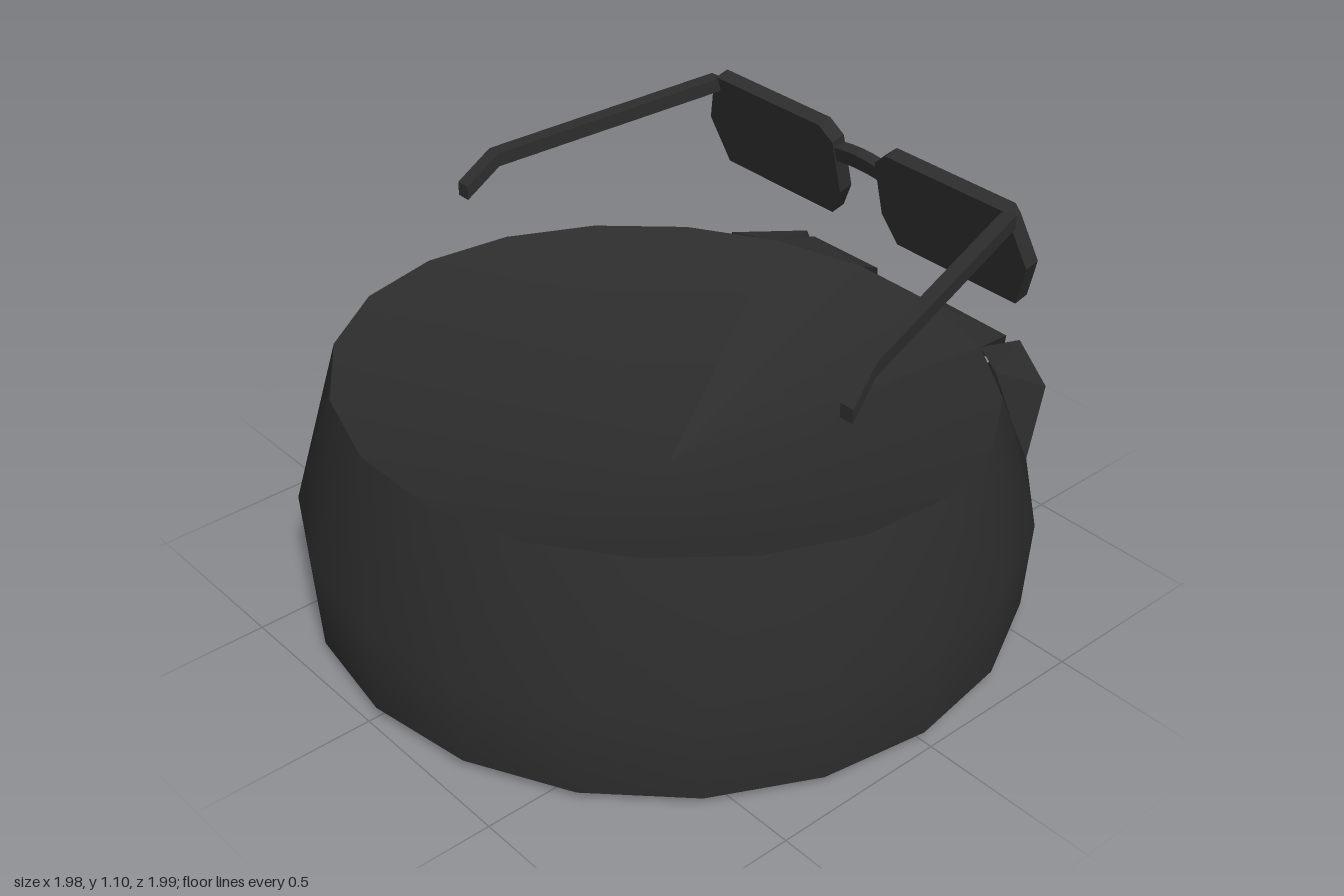
import * as THREE from 'three';

const SIDES = 20;
const charcoal = new THREE.MeshStandardMaterial({ color: 0x2d2d2d, side: THREE.DoubleSide });
charcoal.name = 'charcoal';

// Indexed points give smooth normals
function smoothMesh(name, points, index) {
  const g = new THREE.BufferGeometry();
  g.setAttribute('position', new THREE.Float32BufferAttribute(points.flat(), 3));
  g.setIndex(index);
  g.computeVertexNormals();
  return named(name, g);
}

// Each polygon becomes a fan of flat triangles
function facetMesh(name, polygons) {
  const tris = [];
  for (const p of polygons)
    for (let i = 1; i < p.length - 1; i++) tris.push(...p[0], ...p[i], ...p[i + 1]);
  const g = new THREE.BufferGeometry();
  g.setAttribute('position', new THREE.Float32BufferAttribute(tris, 3));
  g.computeVertexNormals();
  return named(name, g);
}

function named(name, geometry) {
  const m = new THREE.Mesh(geometry, charcoal);
  m.name = name;
  return m;
}

// Ring of points; angle 0 is the front
function ring(radius, offset, height) {
  return Array.from({ length: SIDES }, (_, i) => {
    const a = ((i + offset) / SIDES) * Math.PI * 2;
    const x = radius * Math.sin(a), z = radius * Math.cos(a);
    return [x, height(z), z];
  });
}

function makeBody() {
  const body = new THREE.Group();
  body.name = 'body';
  const low = ring(0.975, 0, () => 0.03);
  const mid = ring(0.99, 0, () => 0.29);
  const rim = ring(0.88, 0.5, z => Math.min(0.68, 0.637 + 0.08 * z));
  const wall = [], base = [], hollow = [], wedge = [];
  const centre = [0, 0.34, -0.01];
  for (let i = 0; i < SIDES; i++) {
    const j = (i + 1) % SIDES, M = SIDES, T = SIDES * 2;
    wall.push(i, j, M + i, M + i, j, M + j);
    wall.push(M + i, M + j, T + i, T + i, M + j, T + j);
    base.push(i, SIDES, j);
    // Three segments at the back form the flat wedge
    if (i >= 8 && i <= 10) wedge.push([rim[i], rim[j], centre]);
    else hollow.push(i, j, SIDES);
  }
  body.add(
    smoothMesh('wall', [...low, ...mid, ...rim], wall),
    smoothMesh('base', [...low, [0, 0, 0]], base),
    smoothMesh('hollowTop', [...rim, centre], hollow),
    facetMesh('backWedge', wedge)
  );
  return body;
}

// Folded flaps and knot at the back, one half per side
function makeFold(s) {
  const fold = new THREE.Group();
  fold.name = s > 0 ? 'leftFold' : 'rightFold';
  const root = [0.58, 0.28, -0.8], corner = [0.575, 0.5, -0.86], tip = [0.42, 0.55, -0.925];
  const bend = [0.31, 0.28, -0.985], foot = [0, 0.05, -0.98];
  const rimOut = [0.52, 0.58, -0.71], rimIn = [0.4, 0.574, -0.784];
  const side = polys => polys.map(p => p.map(([x, y, z]) => [x * s, y, z]));
  fold.add(
    facetMesh('flap', side([
      [root, corner, tip, bend],
      [rimOut, corner, tip, rimIn],
      [rimOut, corner, root],
      [root, bend, foot],
      [tip, bend, [0.34, 0.45, -0.89]]
    ])),
    facetMesh('strap', side([
      [[0.12, 0.55, -0.92], [0.38, 0.55, -0.915], [0.36, 0.45, -0.925], [0.13, 0.42, -0.93]],
      [[0.138, 0.567, -0.869], rimIn, [0.38, 0.55, -0.915], [0.12, 0.55, -0.92]]
    ])),
    facetMesh('knot', side([
      [[0, 0.5, -0.92], [0.12, 0.46, -0.955], [0, 0.32, -0.998]],
      [[0.12, 0.46, -0.955], [0.22, 0.2, -0.98], [0, 0.32, -0.998]],
      [[0.22, 0.2, -0.98], foot, [0, 0.32, -0.998]],
      [[0.22, 0.2, -0.98], bend, foot]
    ]))
  );
  return fold;
}

// Square bar swept through a few points
function makeBar(name, path, w, h) {
  const corners = [[-w, -h], [w, -h], [w, h], [-w, h]];
  const rings = path.map(([x, y, z]) => corners.map(([dx, dy]) => [x + dx, y + dy, z]));
  const polys = [rings[0], rings[rings.length - 1].slice().reverse()];
  for (let r = 0; r < rings.length - 1; r++)
    for (let i = 0; i < 4; i++) {
      const j = (i + 1) % 4;
      polys.push([rings[r][i], rings[r][j], rings[r + 1][j], rings[r + 1][i]]);
    }
  return facetMesh(name, polys);
}

function makeGlasses() {
  const glasses = new THREE.Group();
  glasses.name = 'glasses';
  const front = new THREE.Group();
  front.name = 'glassesFront';
  front.position.set(0, 1.1, -0.7);
  front.rotation.x = 0.235;
  const outline = [[0.08, -0.04], [0.125, 0], [0.54, 0], [0.555, -0.025], [0.6, -0.16],
    [0.55, -0.298], [0.125, -0.298], [0.08, -0.21]];
  for (const s of [1, -1]) {
    const shape = new THREE.Shape(outline.map(([x, y]) => new THREE.Vector2(x * s, y)));
    front.add(named(s > 0 ? 'leftLens' : 'rightLens',
      new THREE.ExtrudeGeometry(shape, { depth: 0.045, bevelEnabled: false })));
    glasses.add(makeBar(s > 0 ? 'leftArm' : 'rightArm',
      [[0.55 * s, 1.068, -0.67], [0.72 * s, 0.985, 0], [0.742 * s, 0.905, 0.095]], 0.021, 0.02));
  }
  // Arched bridge
  const arch = new THREE.Shape();
  arch.moveTo(-0.09, -0.105);
  arch.quadraticCurveTo(0, -0.09, 0.09, -0.105);
  arch.lineTo(0.09, -0.062);
  arch.quadraticCurveTo(0, -0.042, -0.09, -0.062);
  const bridge = named('bridge',
    new THREE.ExtrudeGeometry(arch, { depth: 0.035, bevelEnabled: false, curveSegments: 4 }));
  bridge.position.z = 0.005;
  front.add(bridge);
  glasses.add(front);
  return glasses;
}

export function createModel() {
  const model = new THREE.Group();
  model.name = 'model';
  model.add(makeBody(), makeFold(1), makeFold(-1), makeGlasses());
  return model;
}
